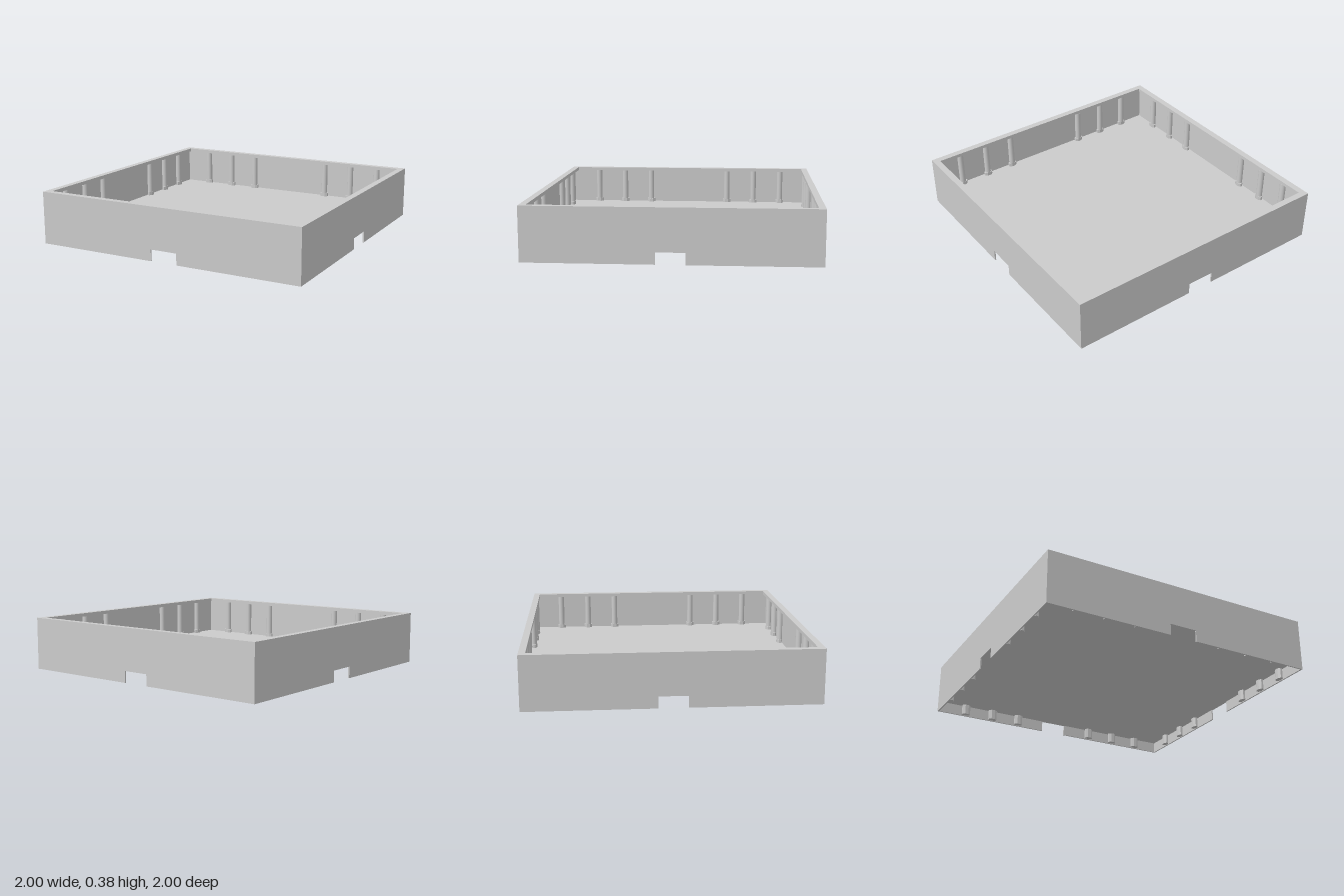
import * as THREE from 'three';

const HEIGHT = 0.38, WALL = 0.01, LIP = 0.047, LIP_BASE = 0.355;
const FLOOR = 0.082, NOTCH = 0.1;

export function createModel() {
  const model = new THREE.Group();
  model.name = 'tray';
  const material = new THREE.MeshStandardMaterial({ color: 0xcccccc });
  const add = (parent, geometry, name, x = 0, y = 0, z = 0) => {
    const mesh = new THREE.Mesh(geometry, material);
    mesh.name = name;
    mesh.position.set(x, y, z);
    parent.add(mesh);
    return mesh;
  };

  // Thin raised floor
  const inner = 2 - 2 * WALL;
  add(model, new THREE.BoxGeometry(inner, 0.006, inner), 'floor', 0, FLOOR + 0.003, 0);

  // Square rim overhanging the inside of the walls
  const square = (path, h) => {
    path.moveTo(-h, -h);
    path.lineTo(h, -h);
    path.lineTo(h, h);
    path.lineTo(-h, h);
    path.closePath();
    return path;
  };
  const rimShape = square(new THREE.Shape(), 1);
  rimShape.holes.push(square(new THREE.Path(), 1 - LIP));
  const rimGeometry = new THREE.ExtrudeGeometry(rimShape, { depth: HEIGHT - LIP_BASE, bevelEnabled: false });
  rimGeometry.rotateX(-Math.PI / 2);
  add(model, rimGeometry, 'rim', 0, LIP_BASE, 0);

  // Wall outline with a square notch at the bottom centre
  const wallShape = new THREE.Shape([
    [-1, 0], [-NOTCH, 0], [-NOTCH, FLOOR], [NOTCH, FLOOR],
    [NOTCH, 0], [1, 0], [1, LIP_BASE], [-1, LIP_BASE],
  ].map(([x, y]) => new THREE.Vector2(x, y)));
  const wallGeometry = new THREE.ExtrudeGeometry(wallShape, { depth: WALL, bevelEnabled: false });

  // Round post and its wider, faceted foot
  const shaftGeometry = new THREE.CylinderGeometry(0.023, 0.023, LIP_BASE - 0.1, 20);
  let footGeometry = new THREE.CylinderGeometry(1, 1, 0.11, 8).toNonIndexed();
  footGeometry.rotateY(Math.PI / 8);
  footGeometry.scale(0.034, 1, 0.022);
  footGeometry.computeVertexNormals();

  // Four identical sides
  ['front', 'left', 'back', 'right'].forEach((label, i) => {
    const side = new THREE.Group();
    side.name = label + 'Side';
    side.rotation.y = i * Math.PI / 2;
    add(side, wallGeometry, 'wall', 0, 0, 1 - WALL);
    for (const sign of [-1, 1]) {
      for (const offset of [0.325, 0.55, 0.775]) {
        add(side, shaftGeometry, 'post', sign * offset, (LIP_BASE + 0.1) / 2, 0.975);
        add(side, footGeometry, 'postFoot', sign * offset, 0.06, 0.972);
      }
    }
    model.add(side);
  });
  return model;
}
